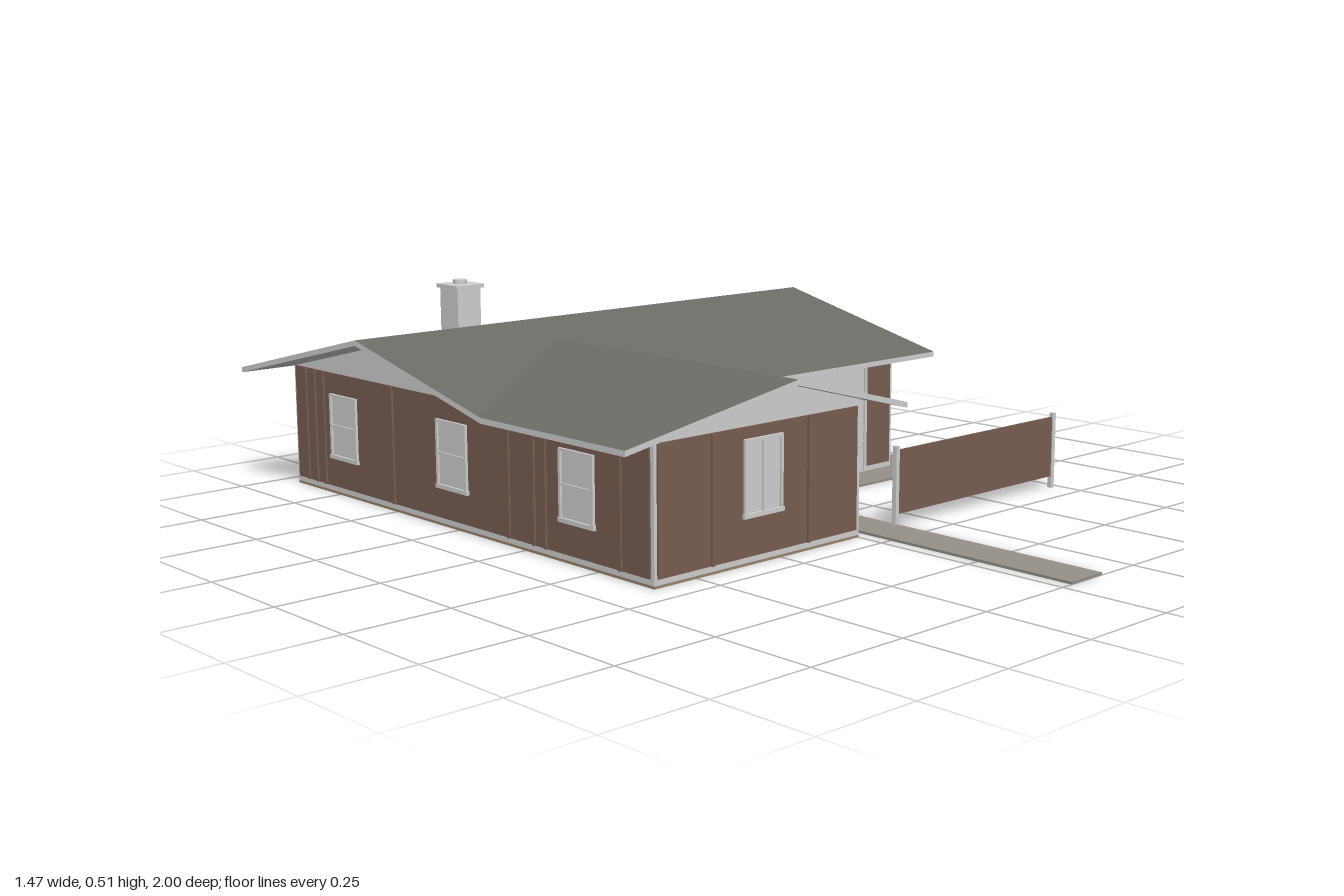
import * as THREE from 'three';

const mat = (name, color, side = THREE.FrontSide) => {
  const m = new THREE.MeshStandardMaterial({ color, side });
  m.name = name;
  return m;
};

export function createModel() {
  const white = mat('whiteTrim', 0xd2d2d2);
  const brown = mat('brownSiding', 0x7a6054);
  const grey = mat('greyShingle', 0x6c6d66);
  const stone = mat('walkStone', 0x96918a);
  const dark = mat('darkMetal', 0x555555);
  const floorTan = mat('floorTan', 0x9c866e);

  const house = new THREE.Group();
  house.name = 'house';

  const add = (parent, name, geo, material) => {
    const m = new THREE.Mesh(geo, material);
    m.name = name;
    parent.add(m);
    return m;
  };
  // Box given by its two opposite corners
  const box = (parent, name, material, x0, x1, y0, y1, z0, z1) => {
    const m = add(parent, name, new THREE.BoxGeometry(x1 - x0, y1 - y0, z1 - z0), material);
    m.position.set((x0 + x1) / 2, (y0 + y1) / 2, (z0 + z1) / 2);
    return m;
  };
  // Gabled prism from a section, extruded along z
  const prism = (pts, depth) => new THREE.ExtrudeGeometry(
    new THREE.Shape(pts.map(p => new THREE.Vector2(...p))), { depth, bevelEnabled: false });

  // House bodies; section of the main block is given in (-z, y)
  const main = prism([[0.01, 0.006], [0.94, 0.006], [0.94, 0.304], [0.48, 0.413], [0.01, 0.302]], 1.225);
  main.rotateY(Math.PI / 2).translate(-0.62, 0, 0);
  add(house, 'mainBody', main, white);
  const wing = prism([[-0.62, 0.006], [0, 0.006], [0, 0.32], [-0.245, 0.385], [-0.62, 0.32]], 0.48);
  wing.translate(0, 0, -0.05);
  add(house, 'wingBody', wing, white);
  box(house, 'mainFloor', floorTan, -0.62, 0.605, 0, 0.006, -0.94, -0.01);
  box(house, 'wingFloor', floorTan, -0.62, 0, 0, 0.006, -0.01, 0.43);

  // Roof planes: shingled top, white soffit and fascia
  const roofPlane = (name, pts) => {
    const T = 0.013;
    const tris = THREE.ShapeUtils.triangulateShape(pts.map(p => new THREE.Vector2(p[0], -p[2])), []);
    const low = pts.map(p => [p[0], p[1] - T, p[2]]);
    const top = [], under = [];
    for (const [a, b, c] of tris) {
      top.push(...pts[a], ...pts[b], ...pts[c]);
      under.push(...low[a], ...low[c], ...low[b]);
    }
    pts.forEach((p, i) => {
      const j = (i + 1) % pts.length;
      under.push(...p, ...low[i], ...low[j], ...p, ...low[j], ...pts[j]);
    });
    const geo = new THREE.BufferGeometry();
    geo.setAttribute('position', new THREE.Float32BufferAttribute([...top, ...under], 3));
    geo.addGroup(0, top.length / 3, 0);
    geo.addGroup(top.length / 3, under.length / 3, 1);
    geo.computeVertexNormals();
    add(house, name, geo, [grey, white]);
  };
  // Corners run counter-clockwise as seen from above
  const L = -0.735, R = 0.715, W = 0.11, RX = -0.245, F = 0.475;
  const ridgeL = [L, 0.43, -0.48], ridgeR = [R, 0.43, -0.48];
  const valleyL = [L, 0.315, 0], valleyTop = [RX, 0.399, -0.35], valleyR = [W, 0.305, 0.04];
  const wingPeak = [RX, 0.399, F];
  roofPlane('roofBack', [ridgeL, ridgeR, [R, 0.305, -1], [L, 0.305, -1]]);
  roofPlane('roofFront', [ridgeL, valleyL, valleyTop, valleyR, [R, 0.305, 0.04], ridgeR]);
  roofPlane('wingRoofLeft', [valleyL, [L, 0.315, F], wingPeak, valleyTop]);
  roofPlane('wingRoofRight', [valleyTop, wingPeak, [W, 0.305, F], valleyR]);

  // Each wall is built facing +z in its own frame, then turned into place
  const wall = (name, turn, x, z) => {
    const g = new THREE.Group();
    g.name = name;
    g.rotation.y = turn;
    g.position.set(x, 0, z);
    house.add(g);
    return g;
  };
  const siding = (g, x0, x1, y1 = 0.306) => box(g, 'siding', brown, x0, x1, 0.02, y1, 0, 0.004);
  const battens = (g, xs) => xs.forEach(x => box(g, 'batten', brown, x - 0.004, x + 0.004, 0.02, 0.304, 0, 0.009));
  const windowUnit = (g, x, y0, y1, w = 0.115, vertical = false) => {
    const a = x - w / 2, b = x + w / 2, t = 0.007, ym = (y0 + y1) / 2;
    box(g, 'windowPane', white, a, b, y0, y1, 0, 0.006);
    box(g, 'windowSill', white, a - 0.003, b + 0.003, y0 - 0.003, y0 + t, 0, 0.012);
    box(g, 'windowHead', white, a, b, y1 - t, y1, 0, 0.011);
    for (const s of [a, b - t]) box(g, 'windowJamb', white, s, s + t, y0, y1, 0, 0.011);
    if (vertical) box(g, 'windowMullion', white, x - t / 2, x + t / 2, y0, y1, 0, 0.01);
    else box(g, 'windowRail', white, a, b, ym - t / 2, ym + t / 2, 0, 0.01);
  };
  // Door with three staggered lights and a knob
  const door = (g, x0, x1, y1) => {
    box(g, 'door', white, x0, x1, 0.01, y1, 0, 0.009);
    const c = x0 + 0.075;
    [[0.005, 0.225], [-0.02, 0.2], [0.005, 0.175]].forEach(([dx, y]) => {
      box(g, 'doorLightFrame', dark, c + dx - 0.027, c + dx + 0.027, y - 0.009, y + 0.009, 0, 0.012);
      box(g, 'doorLight', white, c + dx - 0.022, c + dx + 0.022, y - 0.004, y + 0.004, 0, 0.013);
    });
    const knob = add(g, 'doorKnob', new THREE.SphereGeometry(0.005, 10, 8), dark);
    knob.position.set(x1 - 0.016, 0.125, 0.013);
  };

  const wingFront = wall('wingFrontWall', 0, 0, 0.43);
  siding(wingFront, -0.612, -0.012);
  windowUnit(wingFront, -0.312, 0.11, 0.28, 0.115, true);
  battens(wingFront, [-0.46, -0.17]);

  const wingRight = wall('wingRightWall', Math.PI / 2, 0, 0);
  siding(wingRight, -0.42, 0.006, 0.312);
  battens(wingRight, [-0.36, -0.3, -0.24, -0.18, -0.12, -0.06]);

  const mainFront = wall('mainFrontWall', 0, 0, -0.01);
  siding(mainFront, 0, 0.142, 0.31);
  siding(mainFront, 0.5, 0.595, 0.302);
  door(mainFront, 0.004, 0.13, 0.27);
  box(mainFront, 'pictureWindow', white, 0.142, 0.5, 0.012, 0.302, 0, 0.005);
  for (const x of [0.142, 0.492]) box(mainFront, 'pictureWindowJamb', white, x, x + 0.008, 0.012, 0.302, 0, 0.01);
  box(mainFront, 'pictureWindowRail', white, 0.142, 0.5, 0.085, 0.091, 0, 0.008);

  const mainRight = wall('mainRightWall', Math.PI / 2, 0.605, 0);
  siding(mainRight, 0.022, 0.475);
  siding(mainRight, 0.825, 0.93);
  battens(mainRight, [0.06, 0.11, 0.16, 0.22, 0.28, 0.34, 0.4, 0.46, 0.86, 0.9]);
  door(mainRight, 0.69, 0.822, 0.268);
  for (const x of [0.478, 0.585]) box(mainRight, 'sidePanel', white, x, x + 0.1, 0.012, 0.268, 0, 0.006);
  box(mainRight, 'doorHeader', white, 0.478, 0.822, 0.272, 0.308, 0, 0.012);

  const back = wall('backWall', Math.PI, 0, -0.94);
  siding(back, -0.595, 0.61, 0.302);
  windowUnit(back, 0.4, 0.085, 0.26);
  windowUnit(back, 0.095, 0.12, 0.26);
  windowUnit(back, -0.21, 0.105, 0.26);
  battens(back, [-0.43, -0.1, 0.035, 0.33]);

  const left = wall('leftWall', -Math.PI / 2, -0.62, 0);
  siding(left, -0.93, 0.42);
  for (const z of [-0.71, -0.26, 0.19]) windowUnit(left, z, 0.095, 0.255);
  battens(left, [-0.88, -0.84, -0.8, -0.5, -0.05, 0.04, 0.08, 0.33]);

  // Chimney with cap and flue
  box(house, 'chimney', white, -0.28, -0.208, 0.33, 0.49, -0.78, -0.705);
  box(house, 'chimneyCap', white, -0.287, -0.201, 0.488, 0.498, -0.787, -0.698);
  const flue = add(house, 'chimneyFlue', new THREE.CylinderGeometry(0.018, 0.018, 0.012, 16), white);
  flue.position.set(-0.244, 0.503, -0.742);

  // Walkway around the front and right side
  box(house, 'frontPath', stone, 0.03, 0.137, 0, 0.006, 0.09, 1);
  box(house, 'frontWalk', stone, 0.005, 0.715, 0, 0.006, -0.01, 0.09);
  box(house, 'sideWalk', stone, 0.605, 0.715, 0, 0.006, -0.83, -0.01);
  box(house, 'sideStep', stone, 0.7, 0.722, 0, 0.006, -0.83, -0.7);

  // Screen fence beside the path
  box(house, 'fencePanel', brown, 0.137, 0.72, 0.03, 0.182, 0.421, 0.427);
  for (const x of [0.127, 0.72]) box(house, 'fencePost', white, x, x + 0.011, 0, 0.192, 0.418, 0.43);

  return house;
}
